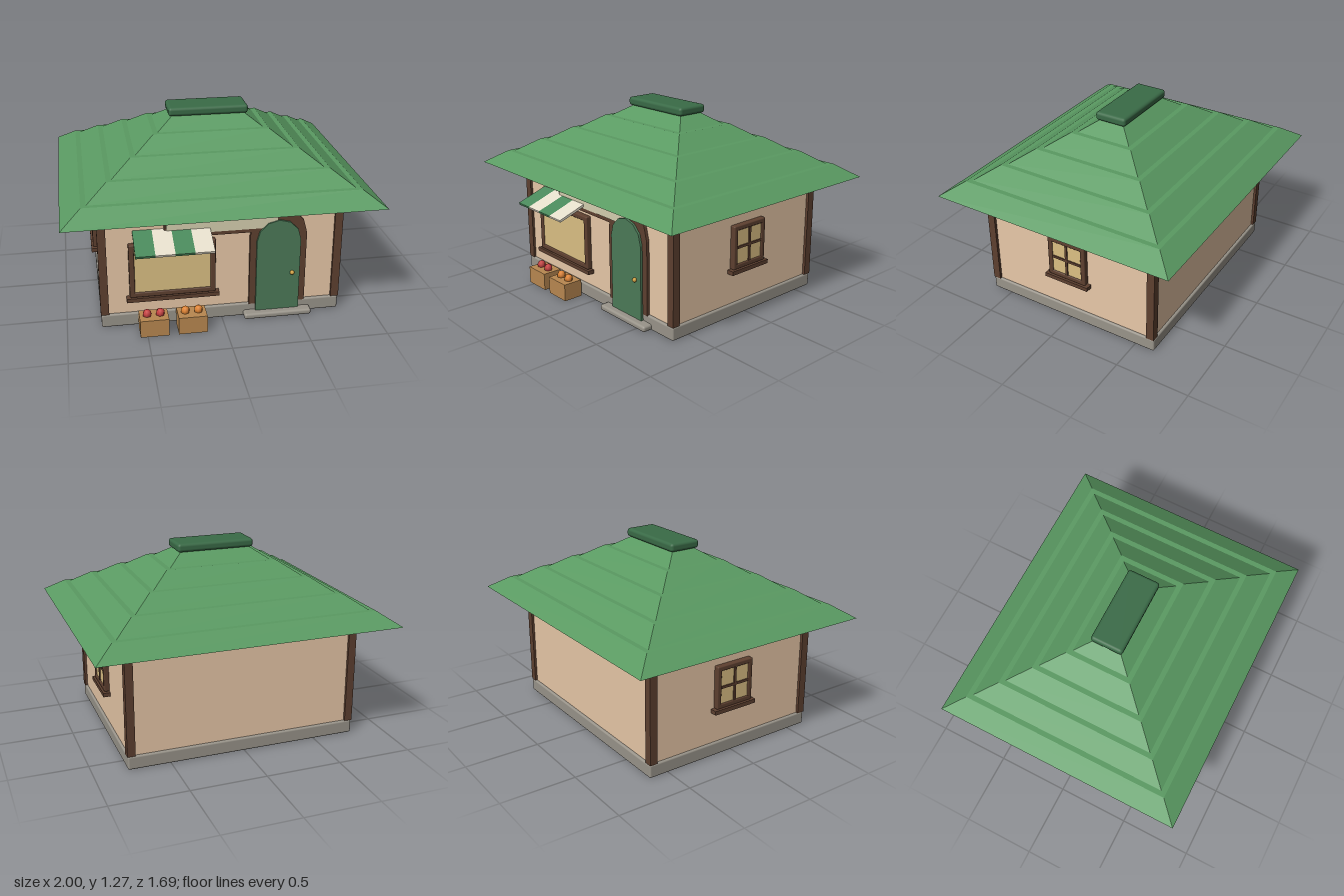
import * as THREE from 'three';
import { RoundedBoxGeometry } from 'three/addons/geometries/RoundedBoxGeometry.js';

const mat = (color) => new THREE.MeshStandardMaterial({ color });
const M = {
  wall: mat(0xe8c8a8), wood: mat(0x5e4030), stone: mat(0x99948a), roof: mat(0x5a9a62),
  cap: mat(0x3a6b47), pane: mat(0xdcc084), green: mat(0x4a8a5c), door: mat(0x4c7a58),
  cream: mat(0xe6dfcc), sign: mat(0xd6d0b0), crate: mat(0xb98850), brass: mat(0xd0a040),
  red: mat(0xc84040), orange: mat(0xe08432),
};

function add(parent, name, geo, material, x = 0, y = 0, z = 0) {
  const m = new THREE.Mesh(geo, material);
  m.name = name;
  m.position.set(x, y, z);
  parent.add(m);
  return m;
}

// box given by its min and max on each axis, optionally rounded
function block(parent, name, material, [x0, x1], [y0, y1], [z0, z1], r = 0) {
  const s = [x1 - x0, y1 - y0, z1 - z0];
  const geo = r ? new RoundedBoxGeometry(...s, 2, r) : new THREE.BoxGeometry(...s);
  return add(parent, name, geo, material, (x0 + x1) / 2, (y0 + y1) / 2, (z0 + z1) / 2);
}

// box whose top is narrower than its bottom
function frustum(hx, hz, inset, h) {
  const geo = new THREE.BoxGeometry(2 * hx, h, 2 * hz);
  const p = geo.attributes.position;
  for (let i = 0; i < p.count; i++) {
    if (p.getY(i) > 0) {
      p.setX(i, Math.sign(p.getX(i)) * (hx - inset));
      p.setZ(i, Math.sign(p.getZ(i)) * (hz - inset));
    }
  }
  geo.computeVertexNormals();
  return geo;
}

// framed window facing +z, back at z = 0, centred on x and y
function makeWindow(name, w, h, border, depth, cross) {
  const g = new THREE.Group();
  g.name = name;
  const a = w / 2, b = h / 2, d = [-0.02, depth];
  for (const s of [-1, 1]) {
    const span = (e) => [s * e - border / 2, s * e + border / 2];
    block(g, 'frameSide', M.wood, span(a - border / 2), [-b, b], d, 0.008);
    block(g, 'frameRail', M.wood, [-a, a], span(b - border / 2), d, 0.008);
  }
  block(g, 'pane', M.pane, [-a + border, a - border], [-b + border, b - border], [-0.02, depth - 0.008]);
  if (cross) {
    block(g, 'muntin', M.wood, [-0.008, 0.008], [-b + border, b - border], d);
    block(g, 'muntin', M.wood, [-a + border, a - border], [-0.008, 0.008], d);
  }
  block(g, 'sill', M.wood, [-a - 0.022, a + 0.022], [-b - 0.027, -b], [-0.02, depth + 0.012]);
  return g;
}

// upright arch outline with a half-round top
function archPoints(r, y0, spring) {
  const pts = [new THREE.Vector2(r, y0)];
  for (let i = 0; i <= 6; i++) {
    const a = (i / 6) * Math.PI;
    pts.push(new THREE.Vector2(r * Math.cos(a), spring + r * Math.sin(a)));
  }
  pts.push(new THREE.Vector2(-r, y0));
  return pts;
}
const extrude = (shape, depth) => new THREE.ExtrudeGeometry(shape, { depth, bevelEnabled: false });

export function createModel() {
  const root = new THREE.Group();
  root.name = 'shop';

  // body
  block(root, 'foundation', M.stone, [-0.78, 0.78], [0, 0.09], [-0.637, 0.637], 0.012);
  block(root, 'walls', M.wall, [-0.765, 0.765], [0.08, 0.79], [-0.62, 0.62]);
  for (const x of [-1, 1]) for (const z of [-1, 1]) {
    add(root, 'cornerPost', new THREE.BoxGeometry(0.053, 0.7, 0.053), M.wood, x * 0.757, 0.44, z * 0.61);
  }

  // stepped hip roof
  const roof = new THREE.Group();
  roof.name = 'roof';
  root.add(roof);
  for (let i = 0; i < 5; i++) {
    add(roof, 'roofTier', frustum(1 - 0.163 * i, 0.845 - 0.163 * i, 0.13, 0.088), M.roof, 0, 0.837 + 0.088 * i, 0);
  }
  block(roof, 'ridgeCap', M.cap, [-0.265, 0.265], [1.217, 1.275], [-0.11, 0.11], 0.02);

  // windows
  const shopWindow = makeWindow('shopWindow', 0.55, 0.37, 0.034, 0.035, false);
  shopWindow.position.set(-0.32, 0.395, 0.62);
  root.add(shopWindow);
  for (const s of [-1, 1]) {
    const w = makeWindow('sideWindow', 0.28, 0.29, 0.033, 0.035, true);
    w.position.set(s * 0.765, 0.475, 0);
    w.rotation.y = s * Math.PI / 2;
    root.add(w);
  }

  // striped awning
  const awning = new THREE.Group();
  awning.name = 'awning';
  awning.position.set(-0.323, 0.622, 0.728);
  awning.rotation.x = 0.34;
  root.add(awning);
  for (let i = 0; i < 4; i++) {
    add(awning, 'awningStripe', new THREE.BoxGeometry(0.1215, 0.016, 0.225), i % 2 ? M.cream : M.green, (i - 1.5) * 0.1215, 0, 0);
  }

  // blank sign board
  block(root, 'signFrame', M.wood, [-0.37, 0.37], [0.605, 0.735], [0.61, 0.641]);
  block(root, 'signBoard', M.sign, [-0.355, 0.35], [0.63, 0.72], [0.61, 0.646]);

  // arched door
  const door = new THREE.Group();
  door.name = 'door';
  door.position.x = 0.362;
  root.add(door);
  const surround = new THREE.Shape(archPoints(0.185, 0.085, 0.575));
  surround.holes.push(new THREE.Path(archPoints(0.14, 0.0851, 0.54)));
  add(door, 'doorFrame', extrude(surround, 0.04), M.wood, 0, 0, 0.6);
  add(door, 'doorLeaf', extrude(new THREE.Shape(archPoints(0.143, 0.04, 0.538)), 0.035), M.door, 0, 0, 0.62);
  add(door, 'doorKnob', new THREE.SphereGeometry(0.015, 10, 8), M.brass, 0.092, 0.305, 0.662);
  block(door, 'doorStep', M.stone, [-0.222, 0.222], [0.003, 0.042], [0.56, 0.7], 0.015);

  // fruit crates
  [[-0.455, M.red], [-0.212, M.orange]].forEach(([x, fruit]) => {
    const crate = new THREE.Group();
    crate.name = 'fruitCrate';
    crate.position.set(x, 0, 0.725);
    root.add(crate);
    add(crate, 'crate', new THREE.BoxGeometry(0.183, 0.116, 0.135), M.crate, 0, 0.058, 0);
    for (const s of [-1, 1]) {
      const f = add(crate, 'fruit', new THREE.SphereGeometry(0.03, 6, 5), fruit, s * 0.042, 0.13, 0);
      f.rotation.y = 0.3;
    }
  });
  return root;
}
